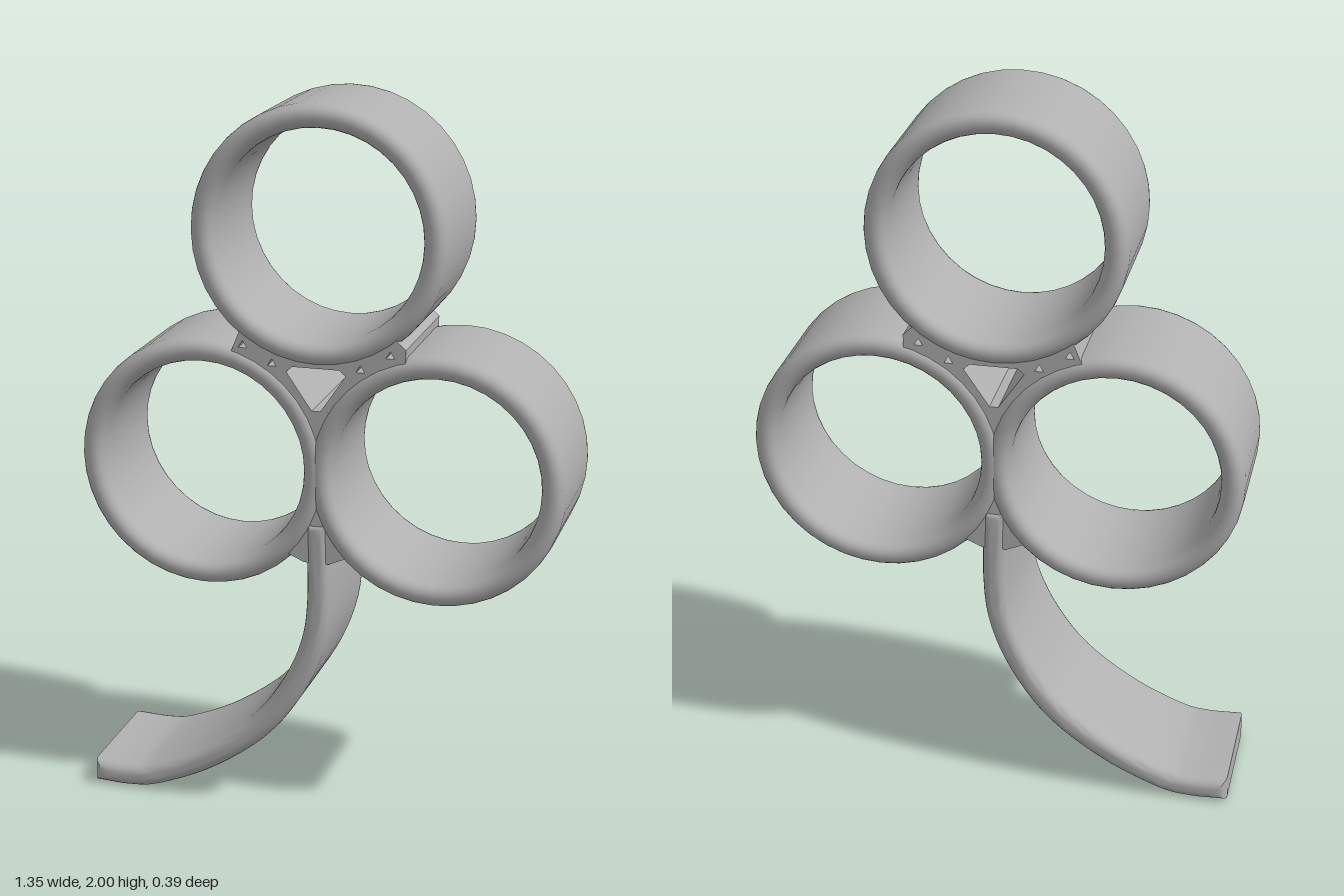
import * as THREE from 'three';
import { toCreasedNormals } from 'three/addons/utils/BufferGeometryUtils.js';

const HALF = 0.193; // half depth in z
const OUTER = 0.35, INNER = 0.285;
const V = (x, y) => new THREE.Vector2(x, y);

// Band with rounded rims, revolved about the z axis
function ringGeometry() {
  const mid = (OUTER + INNER) / 2, flat = 0.004;
  const rx = (OUTER - INNER) / 2 - flat, rz = 0.04;
  const profile = [V(OUTER, 0)];
  const corner = (sx, sz, from) => {
    for (let i = 0; i <= 5; i++) {
      const a = from + (i / 5) * Math.PI / 2;
      profile.push(V(mid + sx * flat + rx * Math.cos(a), sz * (HALF - rz) + rz * Math.sin(a)));
    }
  };
  corner(1, 1, 0);
  corner(-1, 1, Math.PI / 2);
  corner(-1, -1, Math.PI);
  corner(1, -1, Math.PI * 1.5);
  profile.push(V(OUTER, 0));
  return new THREE.LatheGeometry(profile, 40).rotateX(Math.PI / 2);
}

// Extrusion centred on z = 0, with optional rounded edges
function slab(shape, half, bevel = 0, bevelZ = 0) {
  const g = new THREE.ExtrudeGeometry(shape, {
    depth: 2 * (half - bevelZ), curveSegments: 16, bevelEnabled: bevel > 0,
    bevelSize: bevel, bevelThickness: bevelZ, bevelSegments: 5,
  });
  g.translate(0, 0, -(half - bevelZ));
  return toCreasedNormals(g, 0.8);
}

export function createModel() {
  const group = new THREE.Group();
  const grey = new THREE.MeshStandardMaterial({ color: 0xb0b0b0 });
  grey.name = 'grey';
  const add = (name, geometry, x = 0, y = 0) => {
    const mesh = new THREE.Mesh(geometry, grey);
    mesh.name = name;
    mesh.position.set(x, y, 0);
    group.add(mesh);
  };

  // Three leaf rings
  const ring = ringGeometry();
  add('topLeafRing', ring, 0, 1.65);
  add('leftLeafRing', ring, 0.325, 1.005);
  add('rightLeafRing', ring, -0.325, 1.005);

  // Web filling the gap between the rings, bounded by arcs inside their walls
  const rad = THREE.MathUtils.degToRad, r = 0.316;
  const web = new THREE.Shape();
  web.moveTo(-0.245, 1.368);
  web.absarc(0, 1.65, r, rad(-130), rad(-50), false);
  web.lineTo(0.245, 1.368);
  web.absarc(0.325, 1.005, r, rad(105), rad(165), false);
  web.absarc(-0.325, 1.005, r, rad(15), rad(75), false);
  web.closePath();
  // Centre opening and four pinholes
  web.holes.push(new THREE.Path([V(-0.065, 1.3), V(-0.082, 1.285), V(-0.012, 1.182),
    V(0.012, 1.182), V(0.082, 1.285), V(0.065, 1.3)]));
  for (const s of [-1, 1]) {
    for (const [x, y] of [[0.122, 1.306], [0.203, 1.35]]) {
      web.holes.push(new THREE.Path([V(s * x, y + 0.012), V(s * x - 0.012, y - 0.008), V(s * x + 0.012, y - 0.008)]));
    }
  }
  add('centreWeb', slab(web, HALF - 0.008));

  // Fillet where the two lower rings meet the stem
  const fillet = new THREE.Shape([V(-0.085, 0.772), V(-0.035, 0.75), V(0.035, 0.75), V(0.085, 0.772), V(0, 0.93)]);
  add('stemFillet', slab(fillet, HALF - 0.01));

  // Curved stem: the path offset to both sides, with rounded edges
  const path = new THREE.SplineCurve([V(0, 0.84), V(0.002, 0.64), V(-0.018, 0.5), V(-0.08, 0.36),
    V(-0.18, 0.23), V(-0.33, 0.12), V(-0.48, 0.052), V(-0.56, 0.038), V(-0.642, 0.04)]);
  const sideA = [], sideB = [], n = 36;
  for (let i = 0; i <= n; i++) {
    const p = path.getPoint(i / n), t = path.getTangent(i / n);
    const w = 0.008;
    sideA.push(V(p.x - t.y * w, p.y + t.x * w));
    sideB.unshift(V(p.x + t.y * w, p.y - t.x * w));
  }
  add('stem', slab(new THREE.Shape([...sideA, ...sideB]), HALF - 0.002, 0.026, 0.035));

  return group;
}
